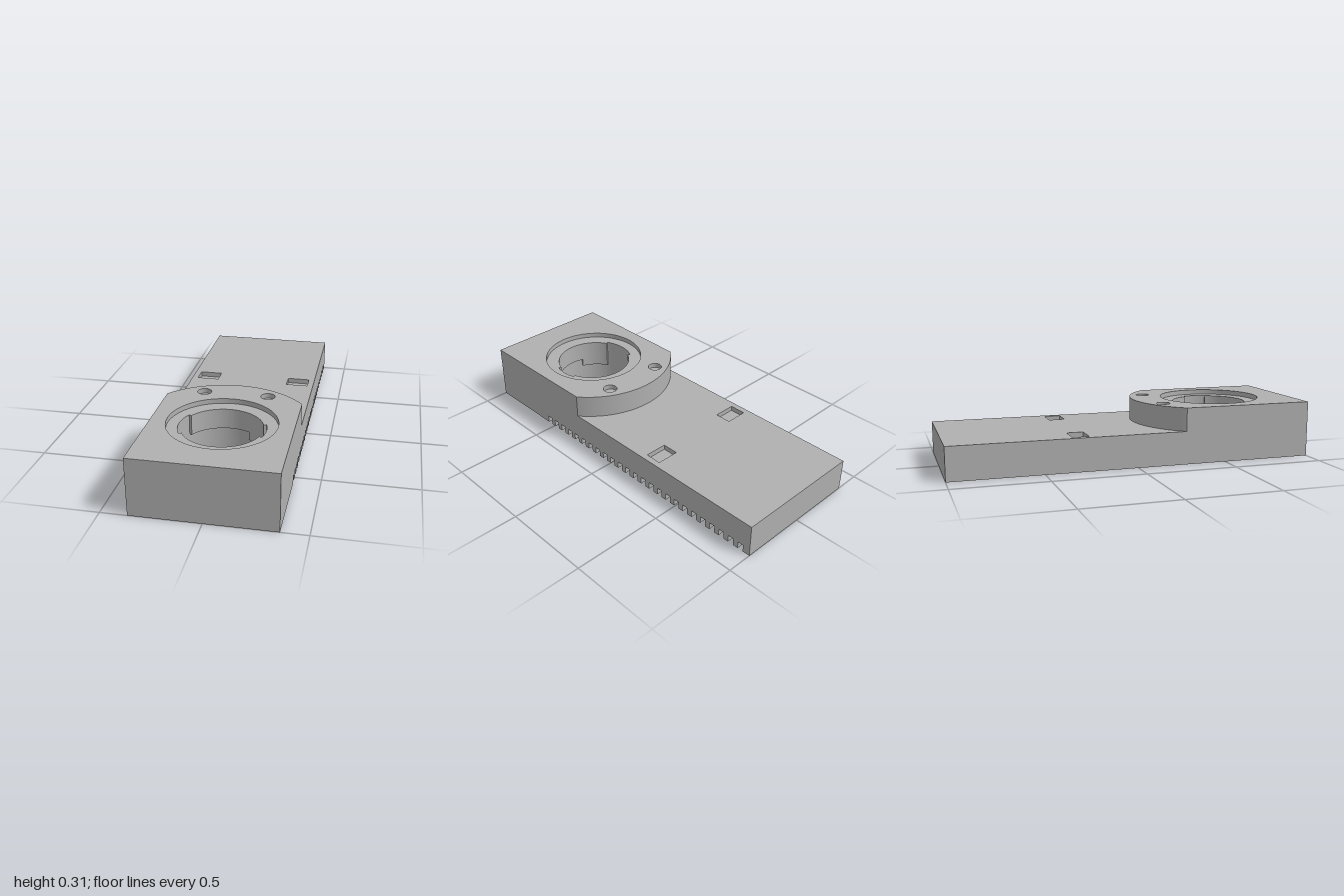
import * as THREE from 'three';
import { toCreasedNormals } from 'three/addons/utils/BufferGeometryUtils.js';

const HALF_W = 0.363, WALL = 0.063, CEILING = 0.075, DECK = 0.18, TOP = 0.307;
const CZ = 0.556, BORE = 0.223, LIP = 0.208, SEAT = 0.281, SEAT_Y = 0.28;
const DEG = Math.PI / 180;

export function createModel() {
  const group = new THREE.Group();
  const grey = new THREE.MeshStandardMaterial({ color: 0xb0b0b0 });
  grey.name = 'grey';

  const add = (name, geometry) => {
    const mesh = new THREE.Mesh(geometry, grey);
    mesh.name = name;
    group.add(mesh);
  };
  const extrude = (shape, depth) =>
    new THREE.ExtrudeGeometry(shape, { depth, bevelEnabled: false, curveSegments: 48 });
  // Plan shapes use (x, -z) and rise from y0 to y1
  const layer = (name, shape, y0, y1) => {
    const g = extrude(shape, y1 - y0).rotateX(-Math.PI / 2).translate(0, y0, 0);
    add(name, toCreasedNormals(g, 0.5));
  };
  const rect = (x0, x1, z0, z1, Type = THREE.Shape) => new Type([
    [x0, -z1], [x1, -z1], [x1, -z0], [x0, -z0],
  ].map(([x, y]) => new THREE.Vector2(x, y)));
  const circle = (x, z, r, Type = THREE.Path) => new Type().absarc(x, -z, r, 0, Math.PI * 2, false);
  const sector = (a0, a1) => {
    const s = new THREE.Shape();
    s.absarc(0, -CZ, BORE, a0 * DEG, a1 * DEG, false);
    s.absarc(0, -CZ, LIP, a1 * DEG, a0 * DEG, true);
    s.closePath();
    return s;
  };

  // Raised block outline with a rounded rear edge
  const blockShape = () => {
    const r = 0.461, a = Math.acos(HALF_W / r);
    const s = new THREE.Shape();
    s.moveTo(-HALF_W, -1);
    s.lineTo(HALF_W, -1);
    s.absarc(0, -CZ, r, a, Math.PI - a, false);
    s.closePath();
    return s;
  };

  // Deck plate with two shallow rectangular pockets
  const pocketY = 0.153;
  const lower = rect(-HALF_W, HALF_W, -1, 1);
  lower.holes.push(circle(0, CZ, BORE));
  layer('deckLower', lower, CEILING, pocketY);
  const upper = rect(-HALF_W, HALF_W, -1, 1);
  upper.holes.push(circle(0, CZ, BORE));
  for (const s of [-1, 1]) {
    upper.holes.push(rect(s * 0.268 - 0.062, s * 0.268 + 0.062, -0.35, -0.26, THREE.Path));
  }
  layer('deckUpper', upper, pocketY, DECK);

  // Raised block, counterbore and two blind round holes
  const block = blockShape();
  block.holes.push(circle(0, CZ, BORE));
  layer('raisedBlock', block, DECK, SEAT_Y);
  const cap = blockShape();
  cap.holes.push(circle(0, CZ, SEAT));
  for (const s of [-1, 1]) cap.holes.push(circle(s * 0.173, 0.208, 0.038));
  layer('blockTop', cap, SEAT_Y, TOP);

  // Bayonet lip with one wide and one narrow slot, and stops beneath it
  layer('bayonetLip', sector(18, 152), 0.17, SEAT_Y);
  layer('bayonetLip', sector(208, 342), 0.17, SEAT_Y);
  layer('bayonetStop', sector(18, 61), 0.125, 0.17);
  layer('bayonetStop', sector(208, 251), 0.125, 0.17);

  // Collar under the bore
  const collar = circle(0, CZ, 0.285, THREE.Shape);
  collar.holes.push(circle(0, CZ, BORE));
  layer('collar', collar, 0, CEILING);

  // Plain skirt walls
  const inner = HALF_W - WALL;
  layer('rightWall', rect(-HALF_W, -inner, -1, 1), 0, CEILING);
  layer('frontWall', rect(-inner, inner, 1 - WALL, 1), 0, CEILING);
  layer('backWall', rect(-inner, inner, -1, -1 + WALL), 0, CEILING);

  // Rack wall: side profile in (-z, y) with 25 notches along the bottom
  const rack = new THREE.Shape();
  const pitch = 0.0618, notch = 0.032, notchH = 0.04;
  rack.moveTo(-1, 0);
  for (let i = 0; i < 25; i++) {
    const u = -0.557 + i * pitch;
    rack.lineTo(u, 0);
    rack.lineTo(u, notchH);
    rack.lineTo(u + notch, notchH);
    rack.lineTo(u + notch, 0);
  }
  rack.lineTo(1, 0);
  rack.lineTo(1, CEILING);
  rack.lineTo(-1, CEILING);
  rack.closePath();
  add('rackWall', extrude(rack, WALL).rotateY(Math.PI / 2).translate(inner, 0, 0));

  return group;
}
